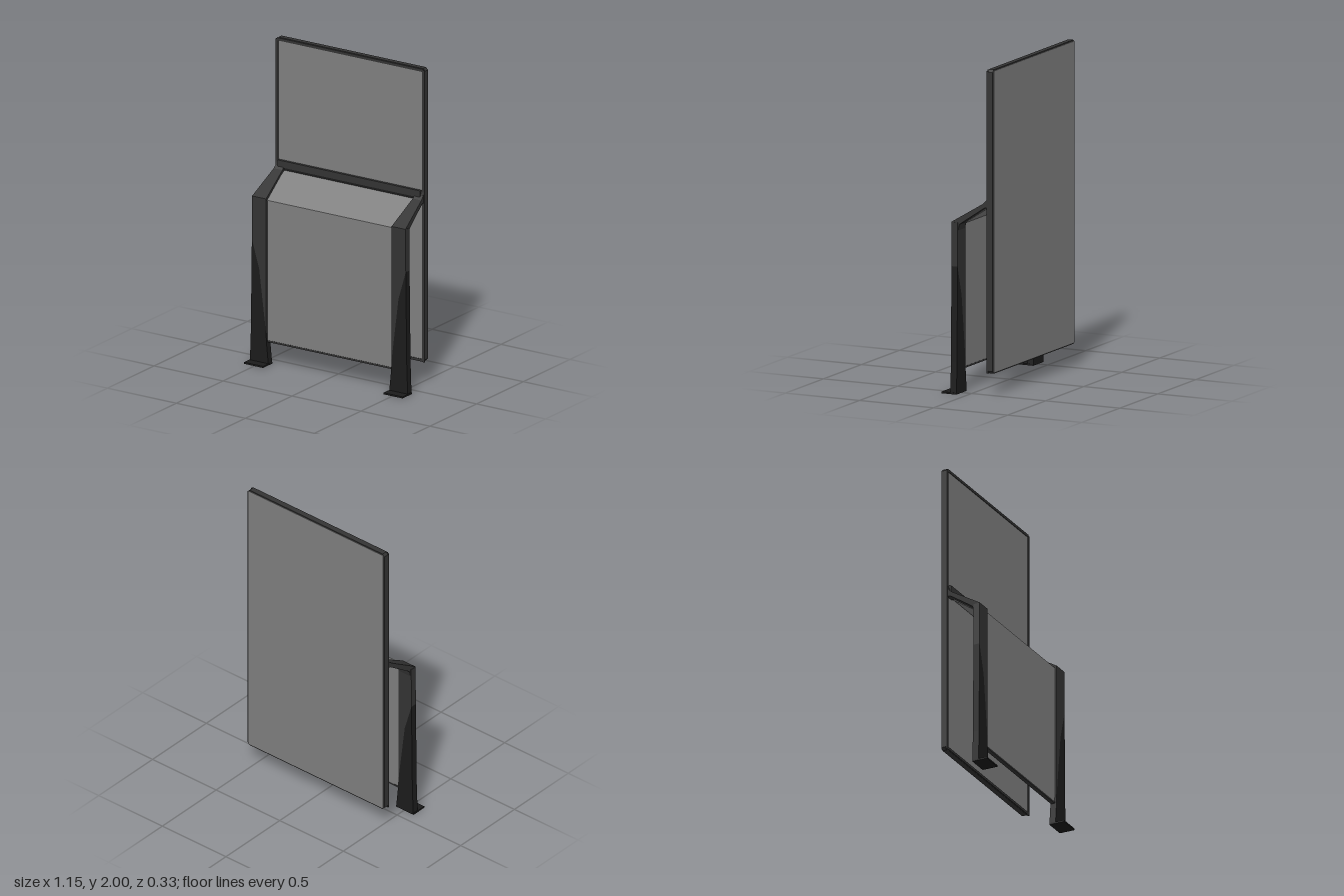
import * as THREE from 'three';

const grey = new THREE.MeshStandardMaterial({ color: 0x808080 });
grey.name = 'panelGrey';
const charcoal = new THREE.MeshStandardMaterial({ color: 0x343434 });
charcoal.name = 'frameCharcoal';
const black = new THREE.MeshStandardMaterial({ color: 0x1c1c1c });
black.name = 'legBlack';

function add(parent, name, geometry, material) {
  const mesh = new THREE.Mesh(geometry, material);
  mesh.name = name;
  parent.add(mesh);
  return mesh;
}

// Box given by its lower and upper corners
function box(x0, x1, y0, y1, z0, z1) {
  return new THREE.BoxGeometry(x1 - x0, y1 - y0, z1 - z0)
    .translate((x0 + x1) / 2, (y0 + y1) / 2, (z0 + z1) / 2);
}

// Outline in x, y extruded in z
function extrude(points, depth) {
  const shape = new THREE.Shape(points.map(([x, y]) => new THREE.Vector2(x, y)));
  return new THREE.ExtrudeGeometry(shape, { depth, bevelEnabled: false });
}

// Side outline in z, y swept along x; range(z) gives its two x limits
function sweepX(points, range) {
  const g = extrude(points, 1).rotateY(-Math.PI / 2);
  const p = g.attributes.position;
  for (let i = 0; i < p.count; i++) {
    const [a, b] = range(p.getZ(i));
    p.setX(i, a + (p.getX(i) + 1) * (b - a));
  }
  g.computeVertexNormals();
  return g;
}

export function createModel() {
  const model = new THREE.Group();
  model.name = 'standingSign';

  // Tall rear board: dark slab with a grey sheet on each face
  const board = new THREE.Group();
  board.name = 'rearBoard';
  model.add(board);
  const c = 0.015, w = 0.538;
  const slab = extrude([
    [-w + c, 0.14], [w - c, 0.14], [w, 0.14 + c], [w, 2 - c],
    [w - c, 2], [-w + c, 2], [-w, 2 - c], [-w, 0.14 + c],
  ], 0.034).translate(0, 0, -0.162);
  add(board, 'boardSlab', slab, charcoal);
  add(board, 'boardFrontSheet', box(-0.522, 0.522, 0.158, 1.98, -0.129, -0.126), grey);
  add(board, 'boardBackSheet', box(-0.53, 0.53, 0.148, 1.992, -0.165, -0.161), grey);

  // Raised rim around the front of the board
  for (const s of [-1, 1]) {
    add(board, 'rimSide', box(s * 0.53 - 0.009, s * 0.53 + 0.009, 0.14, 1.99, -0.13, -0.122), charcoal);
  }
  add(board, 'rimTop', box(-0.53, 0.53, 1.98, 1.997, -0.13, -0.122), charcoal);
  add(board, 'rimBottom', box(-0.53, 0.53, 0.142, 0.158, -0.13, -0.122), charcoal);

  // Crossbar where the sloping hood meets the board
  add(model, 'crossbar', box(-0.515, 0.515, 1.185, 1.228, -0.13, -0.108), charcoal);
  add(model, 'crossbarShadowStrip', box(-0.48, 0.48, 1.168, 1.187, -0.13, -0.112), black);

  // Bent front panel: upright sheet with a sloping top
  add(model, 'frontPanel', sweepX([
    [0.07, 0.15], [0.093, 0.15], [0.093, 1.04], [-0.115, 1.172],
    [-0.115, 1.15], [0.07, 1.028],
  ], () => [-0.47, 0.47]), grey);
  add(model, 'frontPanelEdge', box(-0.455, 0.455, 0.142, 0.153, 0.069, 0.095), charcoal);

  // Mirrored supports: leg, sloping arm and foot
  for (const s of [-1, 1]) {
    const support = new THREE.Group();
    support.name = s > 0 ? 'leftSupport' : 'rightSupport';
    model.add(support);

    const legPart = (name, points, material) => {
      const pts = points.map(([x, y]) => [s * x, y]);
      add(support, name, extrude(pts, 0.041).translate(0, 0, 0.065), material);
    };
    legPart('legUpper', [[0.455, 0.2], [0.505, 0.6], [0.558, 0.78], [0.556, 1.05], [0.455, 1.04]], charcoal);
    legPart('legLower', [
      [0.438, 0], [0.572, 0], [0.565, 0.2], [0.558, 0.78], [0.505, 0.6], [0.455, 0.2], [0.452, 0.14],
    ], black);

    // Arm narrows toward the board
    const range = (z) => {
      const t = (0.106 - z) / 0.236;
      const inner = 0.455 + 0.02 * t, outer = 0.556 - 0.024 * t;
      return s > 0 ? [inner, outer] : [-outer, -inner];
    };
    add(support, 'arm', sweepX([
      [0.065, 1.0], [0.106, 1.03], [0.106, 1.052], [-0.095, 1.175],
      [-0.115, 1.195], [-0.13, 1.24], [-0.13, 1.15], [-0.105, 1.15], [0.055, 1.04],
    ], range), charcoal);

    const x0 = s > 0 ? 0.437 : -0.575;
    add(support, 'foot', box(x0, x0 + 0.138, 0, 0.01, 0.066, 0.165), black);
  }
  return model;
}
